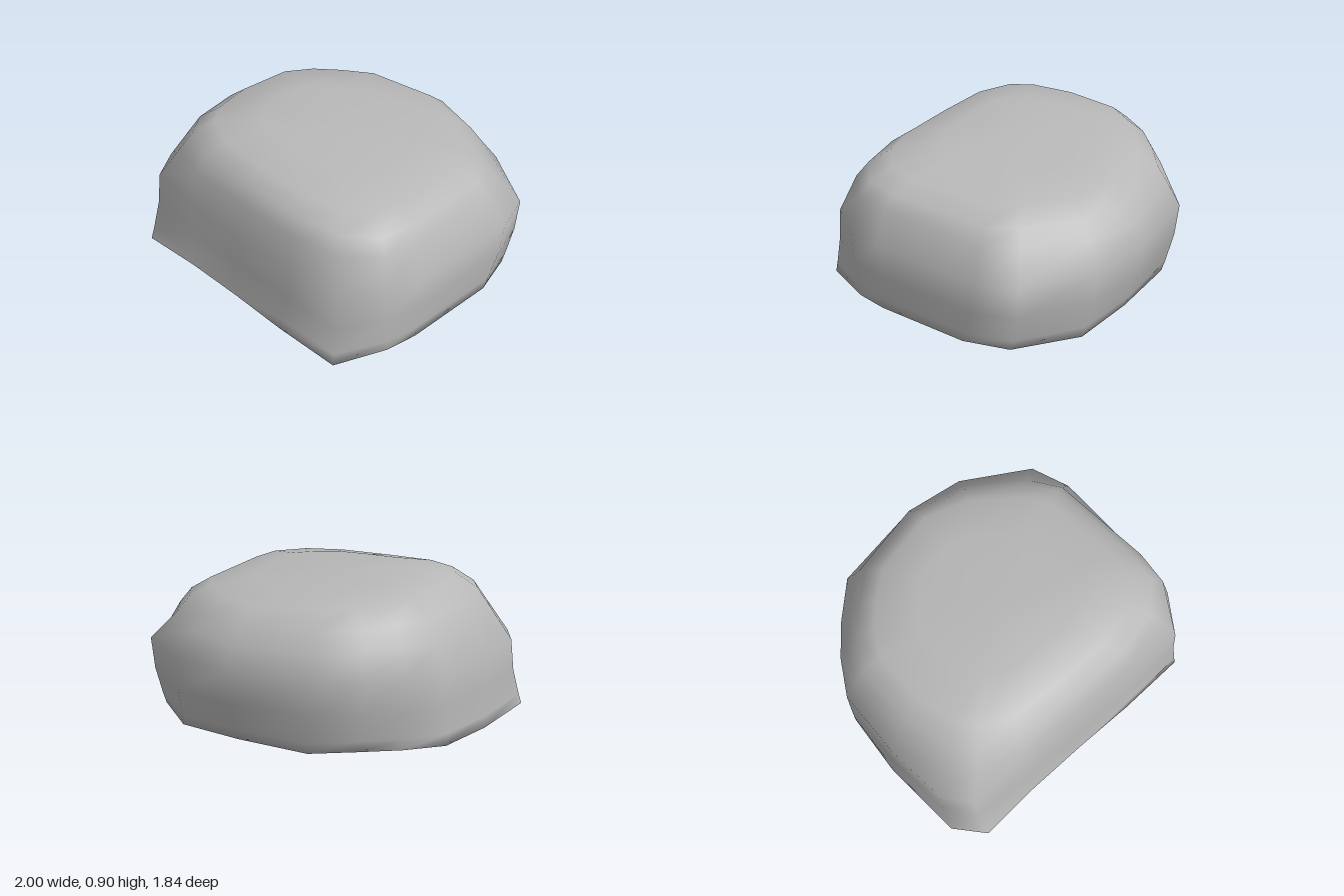
import * as THREE from 'three';
import { mergeGeometries, mergeVertices } from 'three/addons/utils/BufferGeometryUtils.js';

// Plan outlines as [x, z], running front right, back, left, front
const FOOT = [
  [-0.79, 0.92], [-0.95, 0.75], [-1, 0.22], [-0.98, -0.18], [-0.82, -0.39], [-0.63, -0.57],
  [-0.42, -0.76], [0.05, -0.81], [0.48, -0.81], [0.84, -0.57], [0.94, -0.3], [0.97, 0.3],
  [0.95, 0.5], [0.84, 0.82], [0.4, 0.85], [0, 0.86], [-0.4, 0.88],
];
const WAIST = [
  [-0.8, 0.81], [-0.93, 0.63], [-0.98, 0.25], [-0.98, -0.2], [-0.86, -0.42], [-0.71, -0.61],
  [-0.51, -0.81], [0.04, -0.92], [0.45, -0.89], [0.87, -0.66], [0.97, -0.42], [1, 0.3],
  [0.97, 0.53], [0.82, 0.77], [0.45, 0.81], [0, 0.83], [-0.45, 0.84],
];
// Extra draw of each column above the waist, strongest at the corners and the back notch
const TAPER = [
  0.08, 0.07, 0.03, 0.02, 0.01, 0.02, 0.03, 0, 0.06, 0.1, 0.05, 0.01, 0, 0.05, 0, 0, 0.01,
];
const N = WAIST.length;

// Blend of foot and waist outlines at a height
const blend = (t, y) => FOOT.map(([x, z], i) => [
  x + (WAIST[i][0] - x) * t, y, z + (WAIST[i][1] - z) * t,
]);

// Waist outline drawn in, on a plane tilted down to the back and left
const drawnIn = (s, y, tiltX, tiltZ) => WAIST.map(([x, z], i) => {
  const k = s - TAPER[i];
  return [x * k, y + tiltX * x * k + tiltZ * z * k, z * k];
});

function shellGeometry() {
  const rings = [
    blend(0, 0),
    blend(0.25, 0.07),
    blend(0.75, 0.24),
    blend(1, 0.44),
    drawnIn(0.95, 0.625, 0.01, 0.05),
    drawnIn(0.88, 0.73, -0.01, 0.05),
    drawnIn(0.76, 0.815, -0.03, 0.05),
    drawnIn(0.5, 0.858, -0.04, 0.075),
  ];
  const points = rings.flat();
  const top = points.length;
  points.push([-0.02, 0.865, 0.05]);
  const index = [];
  for (let r = 0; r < rings.length - 1; r++) {
    for (let j = 0; j < N; j++) {
      const a = r * N + j, b = r * N + (j + 1) % N;
      index.push(a, a + N, b, b, a + N, b + N);
    }
  }
  const last = (rings.length - 1) * N;
  for (let j = 0; j < N; j++) index.push(last + j, top, last + (j + 1) % N);
  const geometry = new THREE.BufferGeometry();
  geometry.setAttribute('position', new THREE.Float32BufferAttribute(points.flat(), 3));
  geometry.setIndex(index);
  return geometry;
}

// Underside covering the back, left open along the front with a ragged edge
function undersideGeometry() {
  const edge = [[0.05, 0.6], [-0.32, 0.58], [-0.82, 0.21]];
  const outline = [...FOOT.slice(2, 15), ...edge].map(([x, z]) => new THREE.Vector2(x, z));
  const geometry = new THREE.ShapeGeometry(new THREE.Shape(outline)).rotateX(Math.PI / 2);
  geometry.deleteAttribute('normal');
  geometry.deleteAttribute('uv');
  return geometry;
}

export function createModel() {
  const group = new THREE.Group();
  group.name = 'boulder';
  const grey = new THREE.MeshStandardMaterial({ color: 0xb8b8b8, side: THREE.DoubleSide });
  grey.name = 'stone grey';

  // Shell and underside share their rim, so the shading rolls smoothly under
  const geometry = mergeVertices(mergeGeometries([shellGeometry(), undersideGeometry()]));
  geometry.computeVertexNormals();
  const stone = new THREE.Mesh(geometry, grey);
  stone.name = 'stone';
  group.add(stone);
  return group;
}
